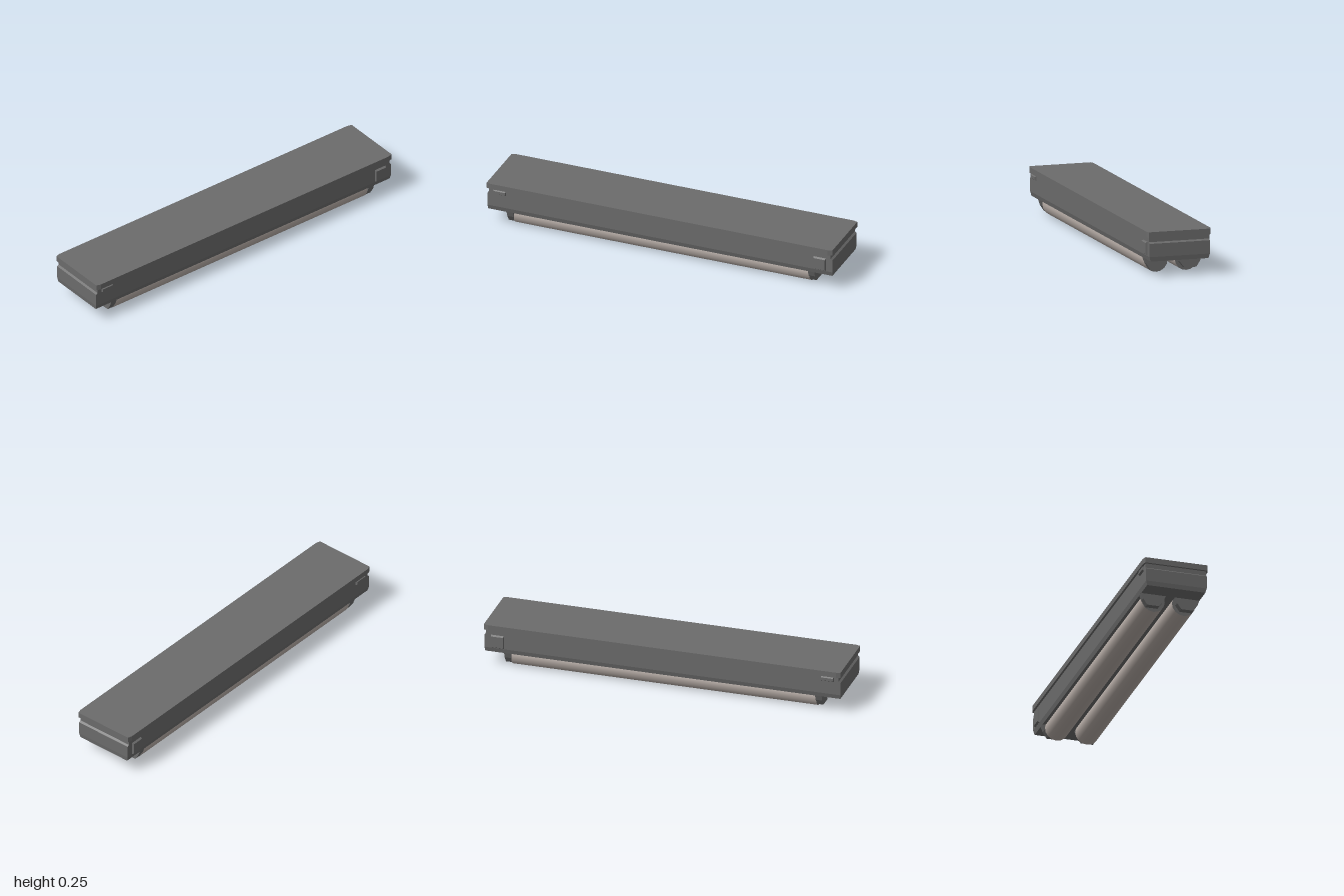
import * as THREE from 'three';

const housing = new THREE.MeshStandardMaterial({ color: 0x6b6b6b });
housing.name = 'housing grey';
const glass = new THREE.MeshStandardMaterial({ color: 0xb5aba5 });
glass.name = 'warm tube';

function addMesh(parent, name, geometry, material) {
  const mesh = new THREE.Mesh(geometry, material);
  mesh.name = name;
  parent.add(mesh);
  return mesh;
}

// Box between two heights whose lower and upper rectangles may differ
function taper(y0, [x0, z0], y1, [x1, z1]) {
  const g = new THREE.BoxGeometry(2, 2, 2);
  const p = g.attributes.position;
  for (let i = 0; i < p.count; i++) {
    const up = p.getY(i) > 0;
    p.setXYZ(i, p.getX(i) * (up ? x1 : x0), up ? y1 : y0, p.getZ(i) * (up ? z1 : z0));
  }
  g.computeVertexNormals();
  return g;
}

// Outline in (z, y) pushed along x from x0 to x1
function extrudeAlongX(points, x0, x1) {
  const shape = new THREE.Shape(points.map(([z, y]) => new THREE.Vector2(-z, y)));
  const g = new THREE.ExtrudeGeometry(shape, { depth: x1 - x0, bevelEnabled: false });
  g.rotateY(Math.PI / 2);
  g.translate(x0, 0, 0);
  return g;
}

export function createModel() {
  const model = new THREE.Group();
  model.name = 'twinTubeLamp';

  // Top plate with clipped corners
  const c = new THREE.Shape([
    [-1, -0.174], [-0.975, -0.181], [0.975, -0.181], [1, -0.174],
    [1, 0.174], [0.975, 0.181], [-0.975, 0.181], [-1, 0.174],
  ].map(([x, y]) => new THREE.Vector2(x, y)));
  const plate = new THREE.ExtrudeGeometry(c, { depth: 0.031, bevelEnabled: false });
  plate.rotateX(-Math.PI / 2);
  plate.translate(0, 0.215, 0);
  addMesh(model, 'topPlate', plate, housing);

  // Housing in stacked, slightly tapering bands
  const body = new THREE.Group();
  body.name = 'housingBody';
  model.add(body);
  const bands = [
    [0.085, 0.995, 0.163], [0.11, 0.998, 0.17], [0.182, 0.998, 0.17],
    [0.19, 0.988, 0.17], [0.215, 0.988, 0.17],
  ];
  for (let i = 0; i < bands.length - 1; i++) {
    const [y0, ...a] = bands[i];
    const [y1, ...b] = bands[i + 1];
    addMesh(body, 'housingBand', taper(y0, a, y1, b), housing);
  }

  for (const side of [1, -1]) {
    const s = side > 0 ? 'Front' : 'Back';

    // Bevelled clips: tall at one end, short at the other
    for (const [name, x, y, h] of [['tallClip', 0.925, 0.15, 0.038], ['shortClip', -0.925, 0.198, 0.015]]) {
      const g = taper(0, [0.036, h], 0.011, [0.033, h - 0.007]);
      g.rotateX(side * Math.PI / 2);
      g.translate(x, y, side * 0.169);
      addMesh(model, name + s, g, housing);
    }

    // Light tube with grey ends
    const tube = new THREE.CylinderGeometry(0.065, 0.065, 1.71, 16);
    tube.rotateZ(Math.PI / 2);
    tube.translate(0, 0.065, side * 0.085);
    addMesh(model, 'lightTube' + s, tube, [glass, housing, housing]);

    // Tube holders at both ends
    const outline = [
      [0.163, 0.086], [0.152, 0.055], [0.13, 0.021], [0.062, 0.021], [0.038, 0.053], [0.025, 0.086],
    ].map(([z, y]) => [z * side, y]);
    for (const x of [-0.89, 0.853]) {
      addMesh(model, 'tubeHolder' + s, extrudeAlongX(outline, x, x + 0.037), housing);
    }
  }
  return model;
}
